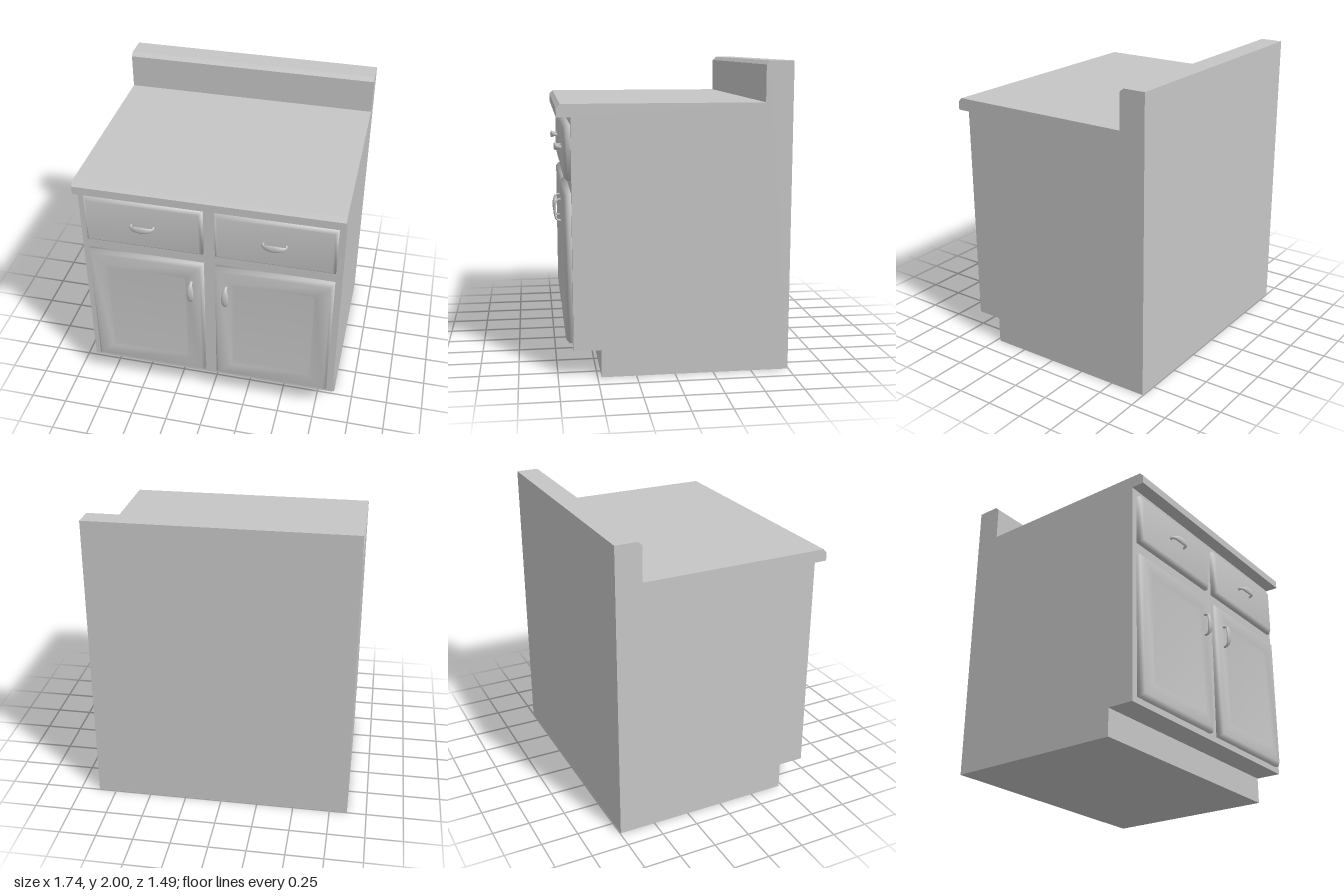
import * as THREE from 'three';

const grey = new THREE.MeshStandardMaterial({ color: 0xc6c6c6 });
grey.name = 'plain grey';

// Skin a list of equal-sized point rings with smooth normals; the last ring is capped.
function loft(rings) {
  const n = rings[0].length;
  const index = [];
  for (let i = 0; i < rings.length - 1; i++) {
    for (let j = 0; j < n; j++) {
      const a = i * n + j, b = i * n + (j + 1) % n;
      index.push(a, b, b + n, a, b + n, a + n);
    }
  }
  const last = (rings.length - 1) * n;
  for (let j = 1; j < n - 1; j++) index.push(last, last + j, last + j + 1);
  const g = new THREE.BufferGeometry();
  g.setAttribute('position', new THREE.Float32BufferAttribute(rings.flat(2), 3));
  g.setIndex(index);
  g.computeVertexNormals();
  return g;
}

// Rectangular front panel; each step is [inset from the edge, z].
function panel(width, height, steps) {
  return loft(steps.map(([inset, z]) => {
    const w = width / 2 - inset, h = height / 2 - inset;
    return [[-w, -h, z], [w, -h, z], [w, h, z], [-w, h, z]];
  }));
}

// Arched pull along y, wide in the middle with narrow necks and flared feet.
function pull() {
  // [y, z, half width, half thickness]
  const half = [
    [-0.074, 0.69, 0.017, 0.012], [-0.075, 0.701, 0.011, 0.008],
    [-0.073, 0.713, 0.01, 0.007], [-0.06, 0.726, 0.015, 0.008],
    [-0.035, 0.733, 0.022, 0.009],
  ];
  const path = [...half, [0, 0.736, 0.025, 0.009],
    ...half.slice().reverse().map(([y, z, w, t]) => [-y, z, w, t])];
  const sides = 12;
  return loft(path.map(([y, z, w, t], i) => {
    const p = path[Math.max(i - 1, 0)], q = path[Math.min(i + 1, path.length - 1)];
    const len = Math.hypot(q[0] - p[0], q[1] - p[1]);
    const ty = (q[0] - p[0]) / len, tz = (q[1] - p[1]) / len;
    return Array.from({ length: sides }, (_, k) => {
      const a = k / sides * Math.PI * 2, s = Math.sin(a) * t;
      return [-Math.cos(a) * w, y - tz * s, z + ty * s];
    });
  }));
}

export function createModel() {
  const model = new THREE.Group();
  model.name = 'baseCabinet';
  const add = (name, geometry, x = 0, y = 0) => {
    const mesh = new THREE.Mesh(geometry, grey);
    mesh.name = name;
    mesh.position.set(x, y, 0);
    model.add(mesh);
    return mesh;
  };

  // Carcass with toe kick, worktop lip and backsplash, as one side profile (z, y)
  const profile = new THREE.Shape([
    [-0.745, 0], [0.475, 0], [0.475, 0.18], [0.65, 0.18], [0.65, 1.66],
    [0.737, 1.66], [0.737, 1.715], [0.712, 1.742], [-0.568, 1.742],
    [-0.568, 1.975], [-0.595, 2], [-0.745, 2],
  ].map(([z, y]) => new THREE.Vector2(z, y)));
  const width = 1.74;
  const carcass = new THREE.ExtrudeGeometry(profile, { depth: width, bevelEnabled: false });
  carcass.translate(0, 0, -width / 2).rotateY(-Math.PI / 2);
  add('cabinetBody', carcass);

  // Raised drawer fronts and doors with a recessed field
  const edge = [[0, 0.65], [0, 0.673], [0.022, 0.695]];
  const drawer = panel(0.785, 0.345, edge);
  const door = panel(0.785, 0.96, [...edge, [0.115, 0.695], [0.128, 0.675]]);
  const handle = pull();
  for (const [side, s] of [['left', 1], ['right', -1]]) {
    add(side + 'DrawerFront', drawer, s * 0.4325, 1.4375);
    add(side + 'Door', door, s * 0.4325, 0.7);
    add(side + 'DoorHandle', handle, s * 0.118, 0.96);
    add(side + 'DrawerHandle', handle, s * 0.4325, 1.44).rotation.z = Math.PI / 2;
  }
  return model;
}
